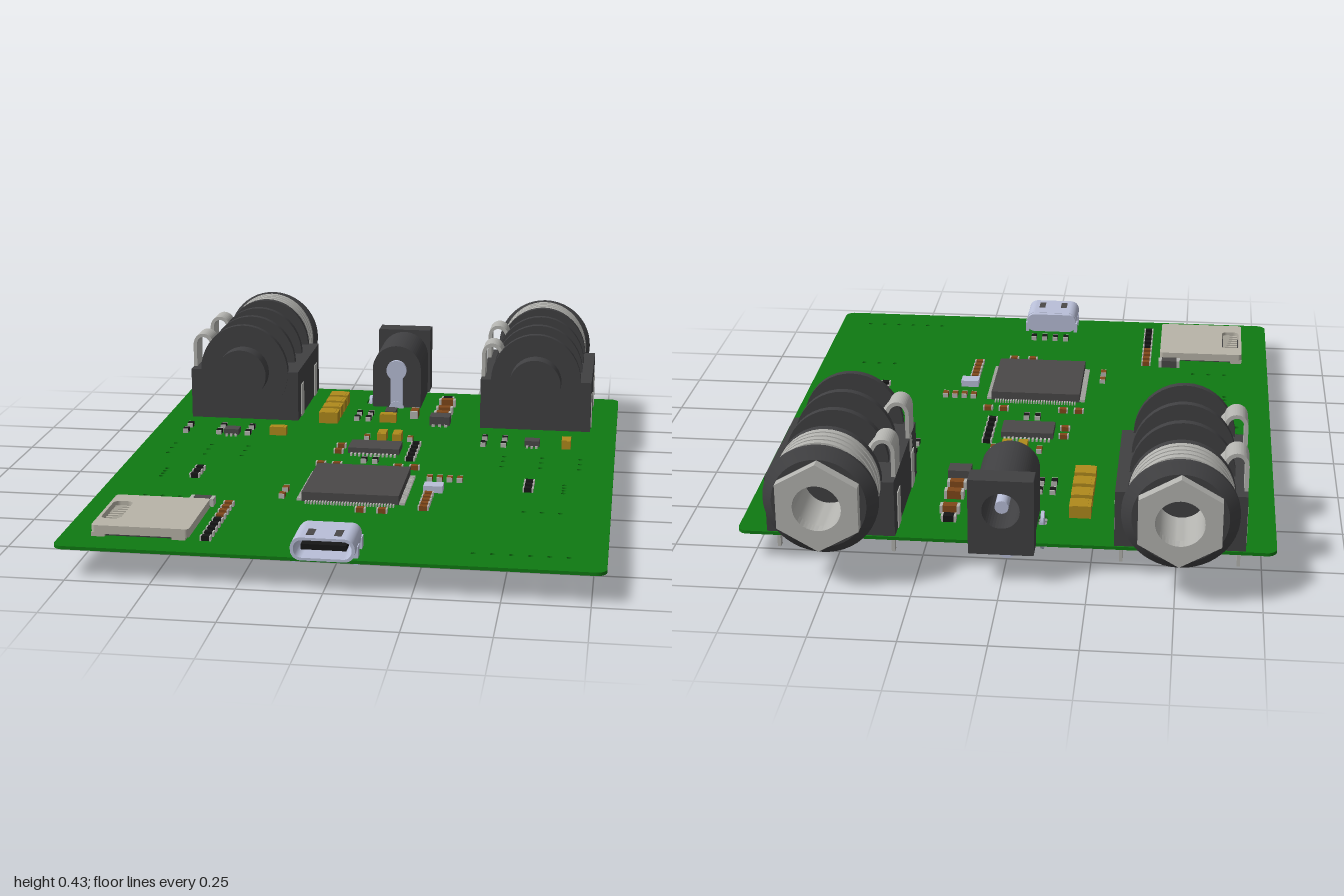
import * as THREE from 'three';
import { toCreasedNormals } from 'three/addons/utils/BufferGeometryUtils.js';

const mat = (color) => new THREE.MeshStandardMaterial({ color, side: THREE.DoubleSide });
const GREEN = mat(0x0f7a12), DARK = mat(0x404042), CHIP = mat(0x4a4848), BLACK = mat(0x161616);
const SILVER = mat(0xb4b4b0), STEEL = mat(0xb9bfd8), SHELL = mat(0xb8b4a8), YELLOW = mat(0xb08a1c), BROWN = mat(0x80481a);
const TOP = 0.096;

function add(parent, name, geo, material, x = 0, y = 0, z = 0) {
  const m = new THREE.Mesh(geo, material);
  m.name = name;
  m.position.set(x, y, z);
  parent.add(m);
  return m;
}
function addGroup(parent, name, x = 0, z = 0) {
  const g = new THREE.Group();
  g.name = name;
  g.position.set(x, 0, z);
  parent.add(g);
  return g;
}
// Box given by centre x, z, sizes and its bottom height
const box = (p, name, material, x, z, w, d, h, y = TOP) =>
  add(p, name, new THREE.BoxGeometry(w, h, d), material, x, y + h / 2, z);
// Cylinder lying along z
const rod = (p, name, material, r, x, y, z0, z1) =>
  add(p, name, new THREE.CylinderGeometry(r, r, z1 - z0, 40).rotateX(Math.PI / 2), material, x, y, (z0 + z1) / 2);
// Outline in x, y extruded from z0 to z1
const slab = (p, name, material, shape, z0, z1, x = 0, y = 0) =>
  add(p, name, new THREE.ExtrudeGeometry(shape, { depth: z1 - z0, bevelEnabled: false, curveSegments: 20 }), material, x, y, z0);
// Turned part along -z from [radius, distance behind origin]
const turned = (p, name, material, pts, x, y) =>
  add(p, name, toCreasedNormals(new THREE.LatheGeometry(pts.map((q) => new THREE.Vector2(...q)), 48).rotateX(-Math.PI / 2), 0.5), material, x, y);
const circle = (x, y, r) => new THREE.Path().absarc(x, y, r, 0, Math.PI * 2, true);

function roundRect(x0, y0, x1, y1, r) {
  const s = new THREE.Shape();
  s.absarc(x1 - r, y1 - r, r, 0, Math.PI / 2);
  s.absarc(x0 + r, y1 - r, r, Math.PI / 2, Math.PI);
  s.absarc(x0 + r, y0 + r, r, Math.PI, Math.PI * 1.5);
  s.absarc(x1 - r, y0 + r, r, Math.PI * 1.5, Math.PI * 2);
  s.closePath();
  return s;
}

function makeBoard(g) {
  const s = roundRect(-0.79, -0.98, 0.79, 0.825, 0.03);
  const drill = (x, z) => s.holes.push(circle(x, -z, 0.008));
  for (const side of [-1, 1]) {
    for (const x of [0.43, 0.555, 0.68]) for (const z of [-0.063, -0.01, 0.047]) drill(side * x, z);
    for (let i = 0; i < 4; i++) drill(side * 0.64, 0.217 + i * 0.027);
    for (let i = 0; i < 3; i++) drill(side * (0.53 + i * 0.055), 0.492);
  }
  for (let i = 0; i < 6; i++) drill(0.412 + i * 0.054, 0.873);
  s.holes.push(roundRect(-0.115, 0.645, -0.088, 0.71, 0.012));
  add(g, 'circuitBoard', new THREE.ExtrudeGeometry(s, { depth: 0.01, bevelEnabled: false, curveSegments: 6 }).rotateX(-Math.PI / 2), GREEN, 0, TOP - 0.01, 0);
}

function makeAudioJack(parent, cx) {
  const g = addGroup(parent, 'audioJack', cx), cy = 0.267;
  box(g, 'jackBody', DARK, 0, -0.605, 0.38, 0.43, 0.174);
  box(g, 'jackCore', DARK, 0, -0.605, 0.18, 0.43, 0.03, 0.27);
  rod(g, 'jackNose', DARK, 0.088, 0, 0.27, -0.4, -0.328);
  for (const z of [-0.398, -0.54, -0.675, -0.81])
    rod(g, 'jackRib', DARK, 0.166, 0, cy, z - 0.011, z + 0.011).scale.x = 0.93;
  // Threaded sleeve with grooves
  const thread = [[0.08, 0.822]];
  for (let i = 0; i < 4; i++) {
    const d = 0.822 + i * 0.025;
    thread.push([0.166, d], [0.166, d + 0.018], [0.145, d + 0.019], [0.145, d + 0.025]);
  }
  turned(g, 'jackThread', SILVER, thread, 0, cy).scale.x = 0.92;
  turned(g, 'jackCollar', DARK, [[0.08, 0.92], [0.155, 0.92], [0.167, 0.93], [0.167, 0.942], [0.137, 0.968], [0.07, 0.968]], 0, cy);
  turned(g, 'jackBore', SILVER, [[0.07, 0.998], [0.07, 0.75], [0, 0.75]], 0, cy);
  const hex = new THREE.Shape();
  for (let i = 0; i < 6; i++) {
    const a = Math.PI / 2 + (i * Math.PI) / 3;
    hex[i ? 'lineTo' : 'moveTo'](0.136 * Math.cos(a), 0.136 * Math.sin(a));
  }
  hex.closePath();
  hex.holes.push(circle(0, 0, 0.07));
  slab(g, 'hexNut', SILVER, hex, -1, -0.966, 0, cy);
  // Spring contacts arched over one side, soldered pins on both
  const arch = new THREE.Shape();
  arch.moveTo(-0.19, 0.2);
  arch.lineTo(-0.19, 0.345);
  arch.bezierCurveTo(-0.19, 0.4, -0.13, 0.4, -0.12, 0.36);
  arch.lineTo(-0.06, 0.28);
  arch.lineTo(-0.07, 0.275);
  arch.lineTo(-0.13, 0.355);
  arch.bezierCurveTo(-0.14, 0.385, -0.178, 0.385, -0.178, 0.345);
  arch.lineTo(-0.178, 0.2);
  arch.closePath();
  for (const z of [-0.472, -0.742]) {
    slab(g, 'springContact', SILVER, arch, z - 0.042, z + 0.042);
    for (const side of [-1, 1]) {
      box(g, 'contactStrip', SILVER, side * 0.188, z, 0.01, 0.048, 0.115);
      box(g, 'jackPin', SILVER, side * 0.172, z, 0.01, 0.022, 0.09, 0.01);
    }
  }
}

function makePowerJack(parent) {
  const g = addGroup(parent, 'powerJack'), cy = 0.235;
  const plate = roundRect(-0.095, TOP, 0.095, 0.33, 0.003);
  plate.holes.push(circle(0, cy, 0.055));
  slab(g, 'powerFace', DARK, plate, -0.905, -0.835);
  const barrel = () => {
    const s = new THREE.Shape();
    s.moveTo(-0.087, TOP);
    s.lineTo(0.087, TOP);
    s.absarc(0, cy, 0.087, 0, Math.PI);
    s.closePath();
    return s;
  };
  const hollow = barrel();
  hollow.holes.push(circle(0, cy, 0.055));
  slab(g, 'powerBarrel', DARK, hollow, -0.835, -0.68);
  slab(g, 'powerEnd', DARK, barrel(), -0.68, -0.612);
  rod(g, 'centrePin', STEEL, 0.02, 0, cy, -0.88, -0.68);
  rod(g, 'rivet', STEEL, 0.036, 0, cy, -0.612, -0.598);
  box(g, 'rearStrip', STEEL, 0, -0.607, 0.044, 0.01, 0.14);
  // Rounded solder tabs with an eyelet
  const tab = roundRect(-0.027, 0, 0.027, 0.12, 0.026);
  tab.holes.push(circle(0, 0.03, 0.011));
  slab(g, 'solderTab', STEEL, tab, -0.61, -0.598);
  slab(g, 'solderTab', STEEL, tab, -0.745, -0.735);
  const sideTab = addGroup(g, 'sideTab', -0.1, -0.67);
  sideTab.rotation.y = Math.PI / 2;
  slab(sideTab, 'solderTab', STEEL, tab, -0.005, 0.005);
}

// Chip with rows of legs along z sides, and optionally x sides
function makeChip(parent, name, x, z, w, d, h, legs, sides, reach) {
  const g = addGroup(parent, name, x, z);
  box(g, 'chipBody', CHIP, 0, 0, w, d, h - 0.004, TOP + 0.004);
  const row = (n, len, along) => {
    const step = len / n;
    for (let i = 0; i < n; i++) for (const s of [-1, 1]) {
      const t = (i + 0.5) * step - len / 2;
      if (along) box(g, 'leg', SILVER, t, s * (d / 2 + reach / 2), step * 0.5, reach, 0.008);
      else box(g, 'leg', SILVER, s * (w / 2 + reach / 2), t, reach, step * 0.5, 0.008);
    }
  };
  row(legs, w * 0.93, true);
  if (sides) row(legs, d * 0.93, false);
}

// Two-terminal part, turned along z when upright
function makePassive(parent, name, material, x, z, l, w, h, upright) {
  const g = addGroup(parent, name, x, z);
  if (upright) g.rotation.y = Math.PI / 2;
  box(g, 'body', material, 0, 0, l * 0.7, w, h);
  for (const s of [-1, 1]) box(g, 'terminal', material === YELLOW ? YELLOW : SILVER, s * l * 0.425, 0, l * 0.15, w, h * 0.97);
}
// Evenly spaced small parts: a column runs along z, a line along x with its parts upright
const column = (g, name, m, x, z, n = 1, step = 0) => {
  for (let i = 0; i < n; i++) makePassive(g, name, m, x, z + i * step, 0.033, 0.018, 0.015, false);
};
const line = (g, name, m, x, z, n = 1, step = 0) => {
  for (let i = 0; i < n; i++) makePassive(g, name, m, x + i * step, z, 0.033, 0.018, 0.015, true);
};

function makeCardSlot(parent) {
  const g = addGroup(parent, 'cardSlot');
  const s = roundRect(-0.7, -0.885, -0.41, -0.6, 0.012);
  s.holes.push(roundRect(-0.69, -0.82, -0.63, -0.66, 0.02));
  add(g, 'slotCover', new THREE.ExtrudeGeometry(s, { depth: 0.026, bevelEnabled: false }).rotateX(-Math.PI / 2), SHELL, 0, 0.104, 0);
  box(g, 'slotBase', DARK, -0.56, 0.743, 0.26, 0.26, 0.01);
  for (let i = 0; i < 8; i++) box(g, 'slotContact', SHELL, -0.66, 0.672 + i * 0.02, 0.05, 0.009, 0.014, 0.104);
  for (const z of [0.615, 0.87]) for (const x of [-0.68, -0.44]) box(g, 'slotFoot', SHELL, x, z, 0.04, 0.03, 0.012);
}

function makeUsbPort(parent) {
  const g = addGroup(parent, 'usbPort');
  const shell = roundRect(-0.092, 0.096, 0.092, 0.164, 0.03);
  shell.holes.push(roundRect(-0.083, 0.104, 0.083, 0.156, 0.024));
  slab(g, 'usbShell', STEEL, shell, 0.87, 1);
  slab(g, 'usbBack', STEEL, roundRect(-0.09, 0.097, 0.09, 0.163, 0.028), 0.852, 0.872);
  box(g, 'usbTongue', BLACK, 0, 0.925, 0.13, 0.11, 0.016, 0.122);
  for (const s of [-1, 1]) {
    for (const z of [0.868, 0.945]) box(g, 'usbFoot', STEEL, s * 0.089, z, 0.012, 0.035, 0.055, 0.075);
    box(g, 'springSlot', CHIP, s * 0.04, 0.95, 0.022, 0.05, 0.002, 0.163);
  }
}

function makeSmallParts(g) {
  for (let i = 0; i < 4; i++) makePassive(g, 'largeCapacitor', YELLOW, -0.21, -0.628 + i * 0.077, 0.066, 0.055, 0.04);
  for (const [x, z] of [[-0.005, -0.423], [-0.357, -0.215]]) makePassive(g, 'capacitor', YELLOW, x, z, 0.057, 0.03, 0.03);
  for (const x of [0.005, 0.057, 0.627]) makePassive(g, 'capacitor', YELLOW, x, -0.2, 0.057, 0.03, 0.03, true);
  for (const z of [-0.65, -0.55, -0.485]) makePassive(g, 'capacitor', BROWN, 0.18, z, 0.06, 0.027, 0.027);
  makePassive(g, 'capacitor', BROWN, 0.08, -0.497, 0.06, 0.027, 0.027, true);

  // Resistors
  const r = 'resistor', c = 'smallCapacitor';
  for (const s of [-1, 1]) column(g, r, BLACK, s * 0.53, 0.22, 3, 0.038);
  column(g, r, BLACK, 0.127, -0.143, 5, 0.042);
  column(g, r, BLACK, -0.362, 0.716, 5, 0.039);
  for (const z of [-0.268, -0.2]) {
    line(g, r, BLACK, -0.677, z);
    line(g, r, BLACK, -0.56, z, 2, 0.1);
    line(g, r, BLACK, 0.35, z + 0.02, 2, 0.068);
  }
  for (const z of [-0.492, -0.43]) line(g, r, BLACK, -0.116, z, 2, 0.04);
  line(g, r, BLACK, -0.02, 0.06, 2, 0.037);
  line(g, r, BLACK, -0.06, 0.777, 4, 0.039);

  // Small capacitors around the chips
  for (const s of [-1, 1]) for (const x of [0.1, 0.153]) column(g, c, BROWN, s * x, 0.118);
  column(g, c, BROWN, -0.362, 0.56, 4, 0.039);
  column(g, c, BROWN, -0.118, -0.09, 2, 0.063);
  column(g, c, BROWN, 0.228, 0.385, 5, 0.033);
  for (const x of [0.042, 0.108]) column(g, c, BROWN, x, 0.56);
  for (const z of [0.392, 0.455]) line(g, c, BROWN, -0.217, z);
  line(g, c, BROWN, 0.214, 0.222, 4, 0.032);
  line(g, c, BROWN, -0.048, -0.2, 2, 0.148);
}

export function createModel() {
  const g = new THREE.Group();
  g.name = 'audioCircuitBoard';
  makeBoard(g);
  for (const s of [-1, 1]) makeAudioJack(g, s * 0.51);
  makePowerJack(g);
  makeCardSlot(g);
  makeUsbPort(g);
  makeChip(g, 'processor', 0, 0.345, 0.3, 0.3, 0.033, 32, true, 0.017);
  makeChip(g, 'converterChip', 0, -0.063, 0.17, 0.095, 0.024, 12, false, 0.017);
  makeChip(g, 'regulator', 0.18, -0.41, 0.07, 0.055, 0.035, 3, false, 0.006);
  makeChip(g, 'smallChip', -0.005, -0.497, 0.038, 0.055, 0.024, 3, false, 0.008);
  for (const s of [-1, 1]) makeChip(g, 'smallChip', s * 0.513, -0.193, 0.05, 0.042, 0.024, 3, false, 0.008);
  box(g, 'oscillator', STEEL, 0.238, 0.328, 0.06, 0.045, 0.022);
  makePassive(g, 'diode', CHIP, -0.444, 0.56, 0.075, 0.035, 0.025);
  makePassive(g, 'diode', BLACK, 0.177, -0.703, 0.045, 0.025, 0.02);
  makeSmallParts(g);
  return g;
}
